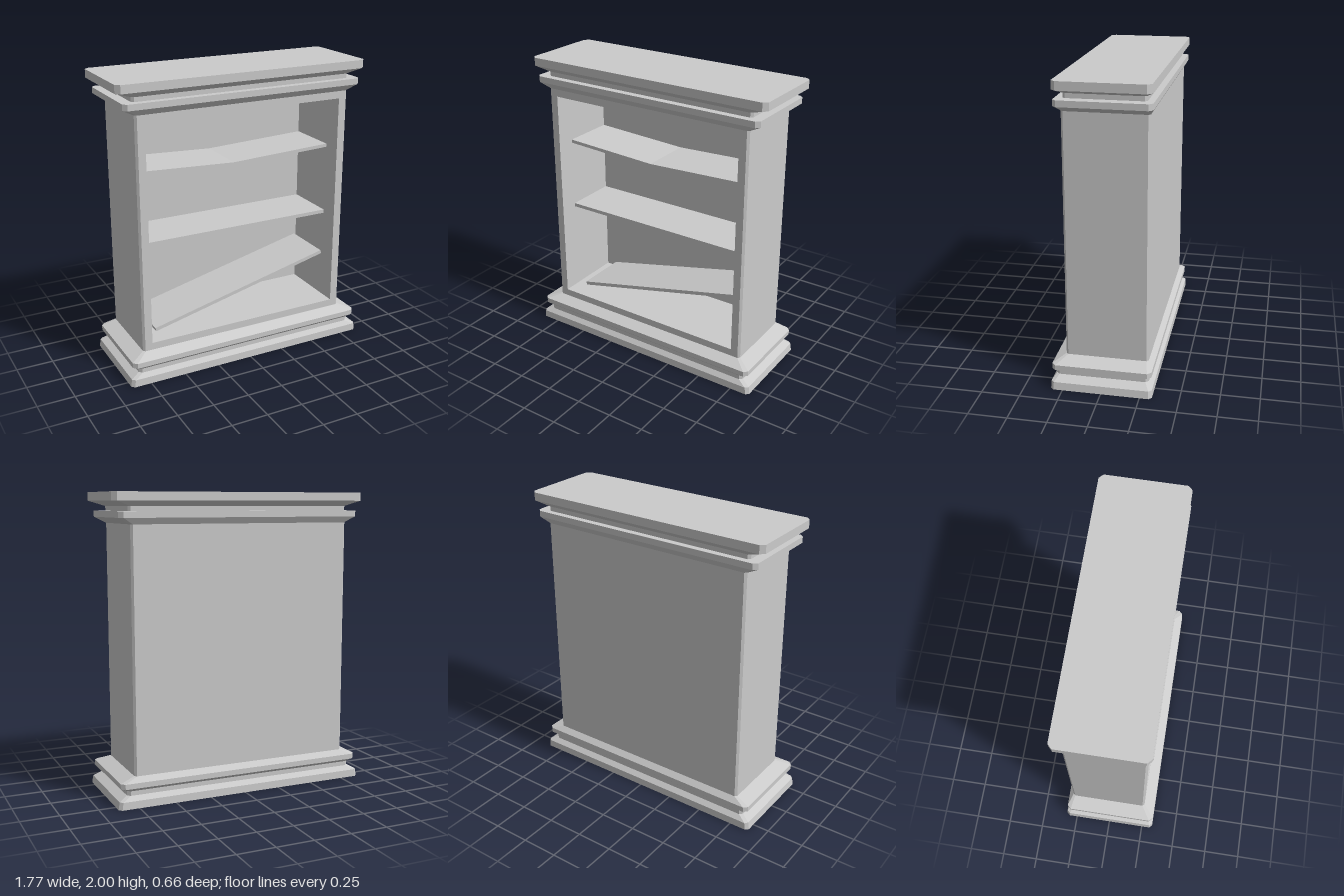
import * as THREE from 'three';

const material = new THREE.MeshStandardMaterial({ color: 0xcccccc, flatShading: true, side: THREE.DoubleSide });

// Rectangle with chamfered corners at height y, starting along the front edge.
function ring([y, hx, zf, zb, c]) {
  return [
    [-hx + c, y, zf], [hx - c, y, zf], [hx, y, zf - c], [hx, y, zb + c],
    [hx - c, y, zb], [-hx + c, y, zb], [-hx, y, zb + c], [-hx, y, zf - c],
  ];
}

// Skin through stacked sections, listed from the bottom up.
function loft(sections, { openFront = false, capTop = false } = {}) {
  const rings = sections.map(ring);
  const pos = [];
  for (let s = 0; s < rings.length - 1; s++) {
    for (let i = openFront ? 1 : 0; i < 8; i++) {
      const j = (i + 1) % 8;
      const a = rings[s][i], b = rings[s][j], c = rings[s + 1][j], d = rings[s + 1][i];
      pos.push(...a, ...b, ...c, ...a, ...c, ...d);
    }
  }
  if (capTop) {
    const top = rings[rings.length - 1];
    for (let i = 1; i < 7; i++) pos.push(...top[0], ...top[i], ...top[i + 1]);
  }
  const geometry = new THREE.BufferGeometry();
  geometry.setAttribute('position', new THREE.Float32BufferAttribute(pos, 3));
  geometry.computeVertexNormals();
  return geometry;
}

export function createModel() {
  const group = new THREE.Group();
  const add = (name, geometry) => {
    const mesh = new THREE.Mesh(geometry, material);
    mesh.name = name;
    group.add(mesh);
    return mesh;
  };

  // Cabinet proportions
  const front = 0.249, back = -0.288, halfW = 0.767, bevel = 0.014;
  const nicheX = 0.702, nicheBottom = 0.25, nicheTop = 1.75, nicheBack = -0.25;
  const low = [0.2, halfW, front, back, bevel];
  const high = [1.8, halfW, front, back, bevel];

  // Stepped plinth, open underneath
  add('plinth', loft([
    [0, 0.886, 0.328, -0.328, 0.02],
    [0.05, 0.878, 0.326, -0.326, 0.02],
    [0.08, 0.82, 0.302, -0.298, 0.02],
    [0.11, 0.82, 0.302, -0.298, 0.02],
    [0.13, 0.865, 0.323, -0.32, 0.025],
    [0.165, 0.865, 0.323, -0.32, 0.025],
    low,
  ]));

  // Outer sides and back
  add('carcass', loft([low, high], { openFront: true }));

  // Crown moulding with flat top
  add('crown', loft([
    high,
    [1.84, 0.845, 0.28, -0.312, 0.025],
    [1.88, 0.845, 0.28, -0.312, 0.025],
    [1.88, 0.776, 0.233, -0.27, 0.015],
    [1.91, 0.776, 0.233, -0.27, 0.015],
    [1.945, 0.886, 0.275, -0.312, 0.028],
    [2, 0.886, 0.275, -0.312, 0.028],
  ], { capTop: true }));

  // Front frame around the opening
  const x = halfW - bevel;
  const shape = new THREE.Shape([[-x, 0.2], [x, 0.2], [x, 1.8], [-x, 1.8]].map(p => new THREE.Vector2(...p)));
  shape.holes.push(new THREE.Path([
    [-nicheX, nicheBottom], [-nicheX, nicheTop], [nicheX, nicheTop], [nicheX, nicheBottom],
  ].map(p => new THREE.Vector2(...p))));
  add('frontFrame', new THREE.ShapeGeometry(shape)).position.z = front;

  // Recess: a box without its front face, turned inside out
  const niche = new THREE.BoxGeometry(nicheX * 2, nicheTop - nicheBottom, front - nicheBack);
  const index = Array.from(niche.index.array);
  index.splice(24, 6);
  niche.setIndex(index.reverse());
  niche.clearGroups();
  niche.computeVertexNormals();
  add('recess', niche).position.set(0, (nicheTop + nicheBottom) / 2, (front + nicheBack) / 2);

  // Shelves
  const depth = 0.37, shelfZ = nicheBack + depth / 2, thick = 0.025;
  add('middleShelf', new THREE.BoxGeometry(nicheX * 2, thick, depth)).position.set(0, 0.8975, shelfZ);

  // Top shelf sags in the middle
  const sag = new THREE.BoxGeometry(nicheX * 2, 0.023, depth, 2, 1, 1);
  const p = sag.attributes.position;
  for (let i = 0; i < p.count; i++) {
    if (Math.abs(p.getX(i)) < 0.01) {
      p.setX(i, -0.03);
      p.setY(i, p.getY(i) - 0.032);
    }
  }
  sag.computeVertexNormals();
  add('saggingShelf', sag).position.set(0, 1.39, shelfZ);

  // Bottom shelf has dropped at one end
  const fallen = add('fallenShelf', new THREE.BoxGeometry(1.352, thick, depth));
  fallen.position.set(0.034, 0.425, shelfZ);
  fallen.rotation.z = Math.atan2(0.315, 1.31);

  return group;
}
